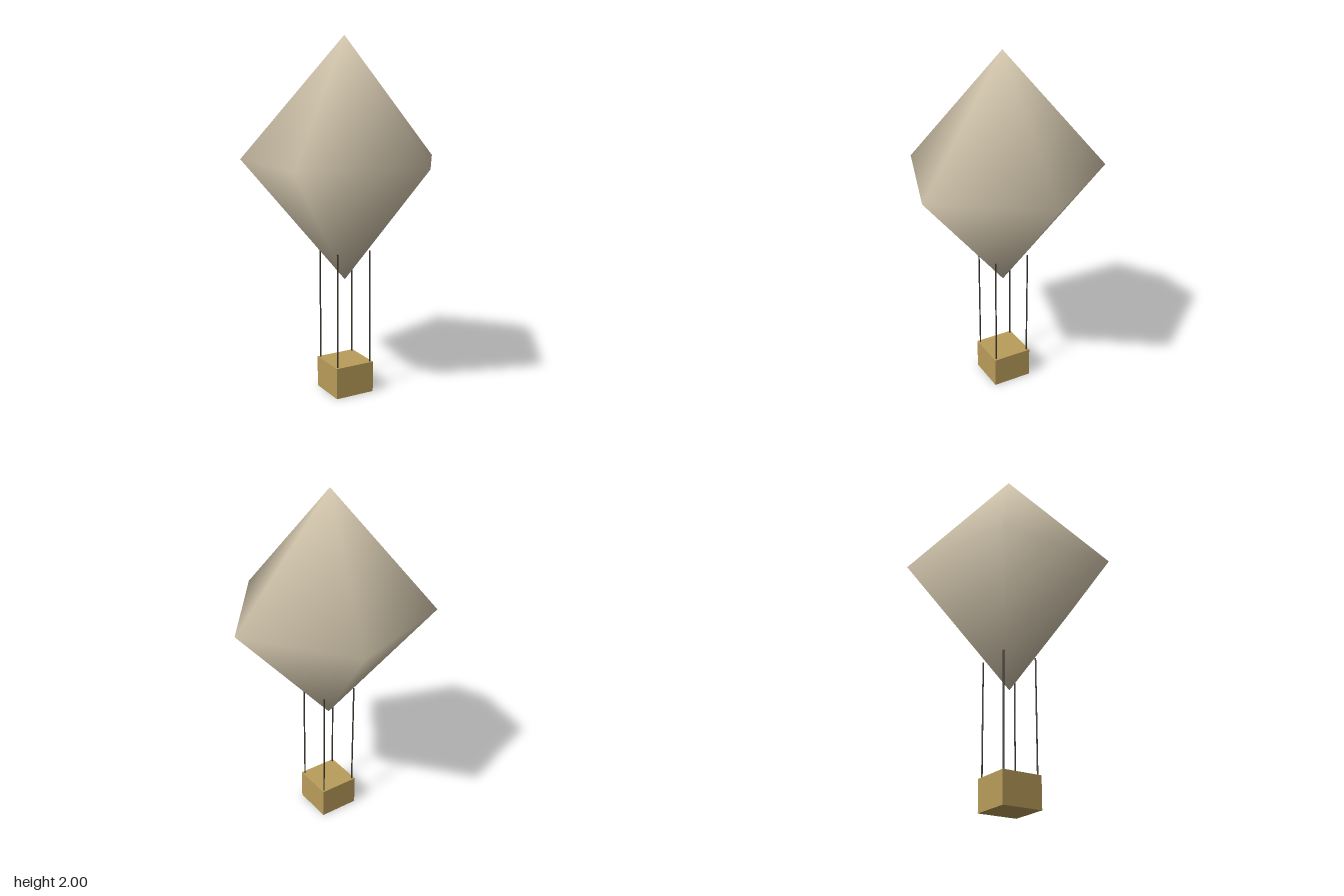
import * as THREE from 'three';

export function createModel() {
  const model = new THREE.Group();
  const mat = (name, color) => {
    const m = new THREE.MeshStandardMaterial({ color });
    m.name = name;
    return m;
  };
  const cream = mat('cream cloth', 0xdacdb3);
  const wicker = mat('wicker', 0xb99d5a);
  const dark = mat('dark rope', 0x3d372f);

  const add = (name, geometry, material, x, y, z) => {
    const mesh = new THREE.Mesh(geometry, material);
    mesh.name = name;
    mesh.position.set(x, y, z);
    model.add(mesh);
    return mesh;
  };

  const cx = -0.056; // axis of the balloon, off centre because of its five sides

  // Five-sided, smooth-shaded envelope with one corner towards +x
  const envelopeShape = new THREE.SphereGeometry(0.586, 5, 2);
  envelopeShape.rotateY(Math.PI);
  envelopeShape.scale(1, 1.15, 1);
  add('envelope', envelopeShape, cream, cx, 1.326, 0);

  // Basket
  add('basket', new THREE.BoxGeometry(0.234, 0.178, 0.234), wicker, cx, 0.089, 0);

  // Four ropes, one above each basket corner
  const ropeShape = new THREE.CylinderGeometry(0.0045, 0.0045, 0.65, 5);
  for (const sx of [-1, 1])
    for (const sz of [-1, 1])
      add('rope', ropeShape, dark, cx + sx * 0.103, 0.502, sz * 0.103);

  return model;
}
